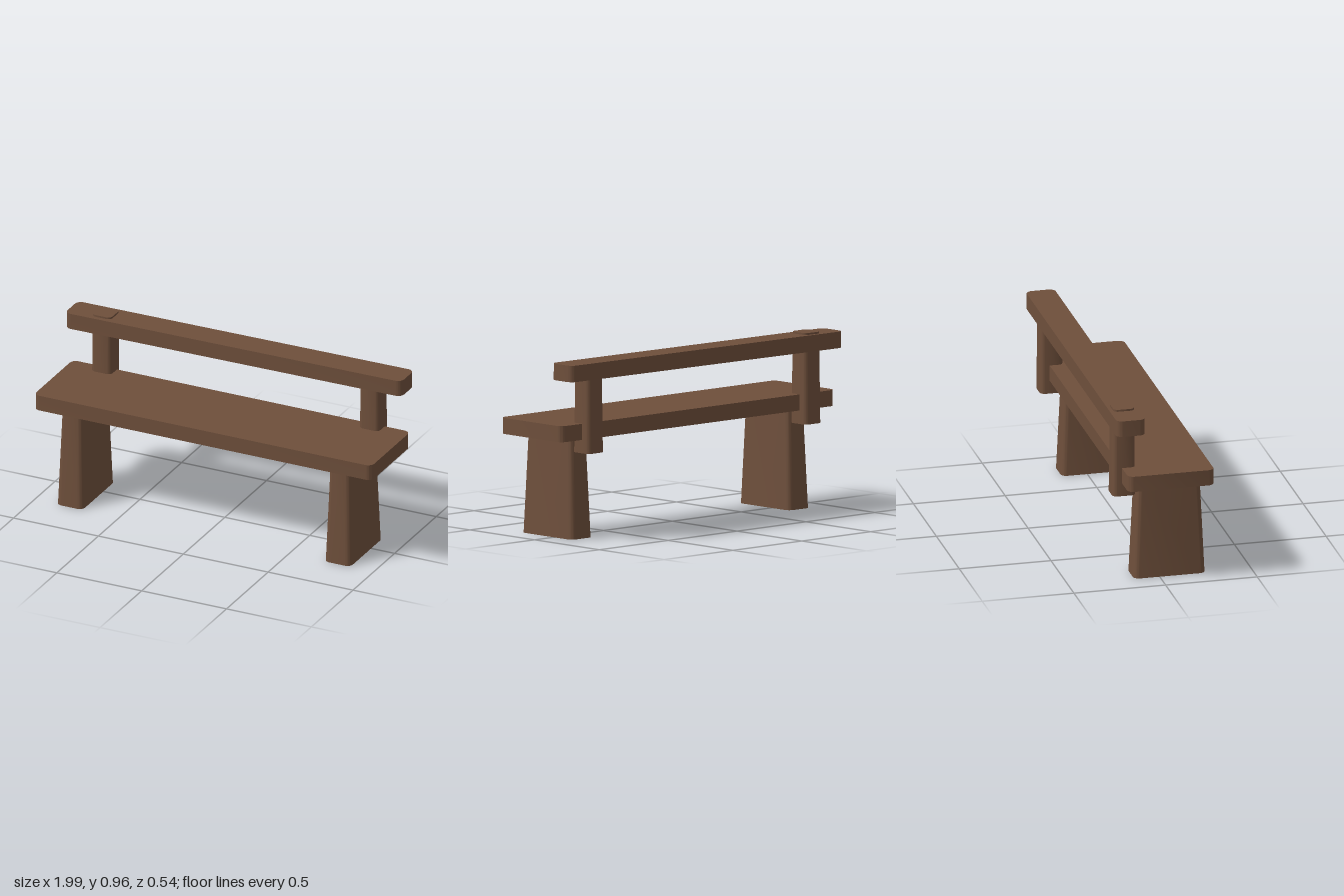
import * as THREE from 'three';
import { toCreasedNormals } from 'three/addons/utils/BufferGeometryUtils.js';

const wood = new THREE.MeshStandardMaterial({ color: 0x6e4f3b });
wood.name = 'brown wood';

// Upright block with rounded vertical corners; standing on y = 0, tapering to the given top scale
function block(w, h, d, r, topX = 1, topZ = 1) {
  const x = w / 2, z = d / 2;
  const s = new THREE.Shape();
  s.moveTo(-x + r, -z);
  s.lineTo(x - r, -z);
  s.absarc(x - r, -z + r, r, -Math.PI / 2, 0);
  s.lineTo(x, z - r);
  s.absarc(x - r, z - r, r, 0, Math.PI / 2);
  s.lineTo(-x + r, z);
  s.absarc(-x + r, z - r, r, Math.PI / 2, Math.PI);
  s.lineTo(-x, -z + r);
  s.absarc(-x + r, -z + r, r, Math.PI, Math.PI * 1.5);
  const geo = new THREE.ExtrudeGeometry(s, { depth: h, bevelEnabled: false, curveSegments: 5 });
  geo.rotateX(-Math.PI / 2);
  const p = geo.attributes.position;
  for (let i = 0; i < p.count; i++) {
    const t = p.getY(i) / h;
    p.setX(i, p.getX(i) * (1 + (topX - 1) * t));
    p.setZ(i, p.getZ(i) * (1 + (topZ - 1) * t));
  }
  return toCreasedNormals(geo, 0.6);
}

export function createModel() {
  const bench = new THREE.Group();
  bench.name = 'bench';

  function add(name, geo, x, y, z) {
    const mesh = new THREE.Mesh(geo, wood);
    mesh.name = name;
    mesh.position.set(x, y, z);
    bench.add(mesh);
    return mesh;
  }

  // Seat plank
  add('seat', block(1.99, 0.086, 0.47, 0.035), 0, 0.54, 0.034);

  // Back rail, very slightly crooked
  const rail = add('backRail', block(1.98, 0.088, 0.158, 0.035), -0.005, 0.862, -0.187);
  rail.rotation.set(0, 0.003, 0.005);

  // Slab legs and back posts; the right post pokes through the rail
  for (const [side, x, top] of [['right', -0.794, 0.956], ['left', 0.784, 0.951]]) {
    add(side + 'Leg', block(0.156, 0.56, 0.39, 0.032, 0.77, 0.87), x, 0, 0.056);
    add(side + 'Post', block(0.122, top - 0.468, 0.126, 0.028, 0.93, 0.9), x, 0.468, -0.187);
  }

  return bench;
}
